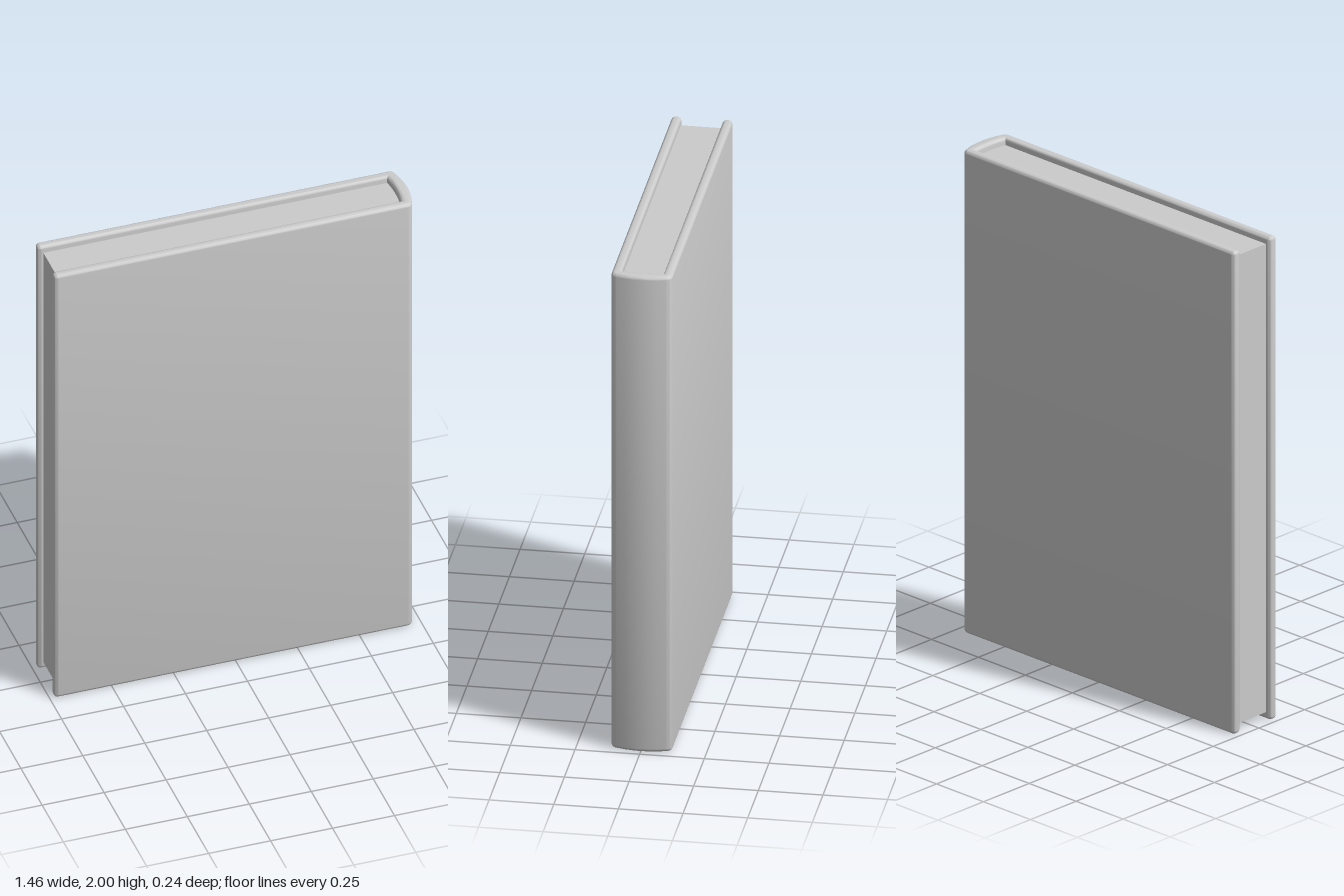
import * as THREE from 'three';
import { toCreasedNormals } from 'three/addons/utils/BufferGeometryUtils.js';

const HEIGHT = 2;
const PAGE_INSET = 0.03; // how far the pages sit below the cover's top and bottom
const BEVEL = 0.014;

// Extrudes a plan outline (x, z) upward between two heights
function extrudeUp(shape, y0, y1, bevel) {
  const geometry = new THREE.ExtrudeGeometry(shape, {
    depth: y1 - y0 - 2 * bevel,
    curveSegments: 6,
    bevelEnabled: bevel > 0,
    bevelThickness: bevel,
    bevelSize: bevel,
    bevelOffset: -bevel,
    bevelSegments: 4,
  });
  geometry.rotateX(-Math.PI / 2);
  geometry.translate(0, y0 + bevel, 0);
  return toCreasedNormals(geometry, 0.7);
}

// C-shaped cover: two boards joined by a bulging spine at +x
function coverShape() {
  const left = -0.732, out = 0.118, inn = 0.08, r = 0.017;
  const s = new THREE.Shape();
  s.moveTo(left + r, -out);
  s.lineTo(0.69, -out);
  s.quadraticCurveTo(0.713, -out, 0.717, -0.095);
  s.quadraticCurveTo(0.747, 0, 0.717, 0.095);
  s.quadraticCurveTo(0.713, out, 0.69, out);
  s.lineTo(left + r, out);
  s.quadraticCurveTo(left, out, left, out - r);
  s.lineTo(left, inn + r);
  s.quadraticCurveTo(left, inn, left + r, inn);
  s.lineTo(0.677, inn);
  s.quadraticCurveTo(0.691, 0, 0.677, -inn);
  s.lineTo(left + r, -inn);
  s.quadraticCurveTo(left, -inn, left, -inn - r);
  s.lineTo(left, -out + r);
  s.quadraticCurveTo(left, -out, left + r, -out);
  return s;
}

// Page block: flat fore edge, rounded back that fits the spine
function pagesShape() {
  const s = new THREE.Shape();
  s.moveTo(-0.71, -0.081);
  s.lineTo(0.678, -0.081);
  s.quadraticCurveTo(0.692, 0, 0.678, 0.081);
  s.lineTo(-0.71, 0.081);
  s.closePath();
  return s;
}

export function createModel() {
  const book = new THREE.Group();
  book.name = 'book';
  const material = new THREE.MeshStandardMaterial({ color: 0xcccccc });

  const cover = new THREE.Mesh(extrudeUp(coverShape(), 0, HEIGHT, BEVEL), material);
  cover.name = 'cover';

  const pages = new THREE.Mesh(
    extrudeUp(pagesShape(), PAGE_INSET, HEIGHT - PAGE_INSET, 0), material);
  pages.name = 'pages';

  book.add(cover, pages);
  return book;
}
